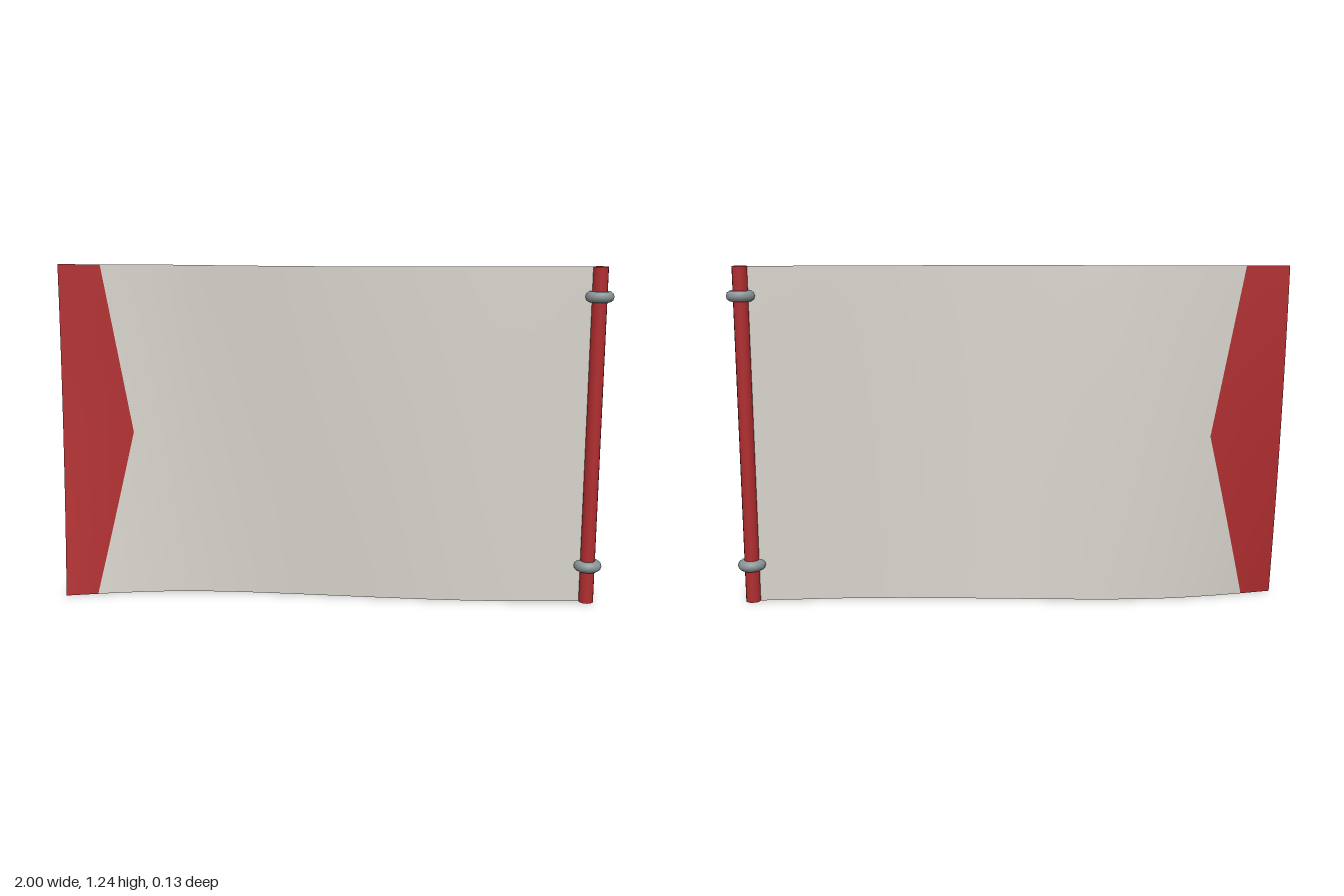
import * as THREE from 'three';

const HEIGHT = 1.235, POLE_X = 0.948, POLE_Z = 0.013;

// Ripple of the cloth: [x, z at bottom edge, z at mid height, z at top edge]
const RIPPLE = [
  [-1, 0.025, -0.037, -0.064], [-0.8, -0.015, -0.047, -0.062], [-0.6, -0.041, -0.05, -0.049],
  [-0.4, -0.044, -0.035, -0.016], [-0.2, -0.032, -0.01, 0.014], [0, -0.015, 0.012, 0.033],
  [0.2, 0.002, 0.022, 0.037], [0.4, 0.016, 0.025, 0.031], [0.6, 0.022, 0.023, 0.022],
  [POLE_X, 0.012, 0.012, 0.012],
];

// Smooth interpolation along x for one column of the ripple table
function rippleAt(x, col) {
  let i = 0;
  while (i < RIPPLE.length - 2 && x > RIPPLE[i + 1][0]) i++;
  const slope = (k) => {
    const a = RIPPLE[Math.max(k - 1, 0)], b = RIPPLE[Math.min(k + 1, RIPPLE.length - 1)];
    return (b[col] - a[col]) / (b[0] - a[0]);
  };
  const p = RIPPLE[i], q = RIPPLE[i + 1], w = q[0] - p[0], t = (x - p[0]) / w;
  const t2 = t * t, t3 = t2 * t;
  return (2 * t3 - 3 * t2 + 1) * p[col] + (t3 - 2 * t2 + t) * w * slope(i)
    + (3 * t2 - 2 * t3) * q[col] + (t3 - t2) * w * slope(i + 1);
}

// Cloth depth at x and height fraction v: a parabola through the three rows
function clothZ(x, v) {
  const [b, m, t] = [1, 2, 3].map((col) => rippleAt(x, col));
  return b * (1 - v) * (1 - 2 * v) + m * 4 * v * (1 - v) + t * v * (2 * v - 1);
}

// Slanted border between the end panel and the main cloth
const borderX = (v) => (v < 0.5
  ? THREE.MathUtils.lerp(-0.885, -0.738, v * 2)
  : THREE.MathUtils.lerp(-0.738, -0.845, v * 2 - 1));

// Piece of cloth between two side lines, each given as x for a height fraction
function clothPiece(name, leftX, rightX, columns, material) {
  const geometry = new THREE.PlaneGeometry(1, 1, columns, 32);
  const pos = geometry.attributes.position, normal = geometry.attributes.normal;
  const n = new THREE.Vector3(), e = 0.005;
  for (let i = 0; i < pos.count; i++) {
    const v = pos.getY(i) + 0.5;
    const x = THREE.MathUtils.lerp(leftX(v), rightX(v), pos.getX(i) + 0.5);
    pos.setXYZ(i, x, v * HEIGHT, clothZ(x, v));
    // Normals come from the surface itself so the pieces shade as one sheet
    const dx = (clothZ(x + e, v) - clothZ(x - e, v)) / (2 * e);
    const dy = (clothZ(x, v + e) - clothZ(x, v - e)) / (2 * e * HEIGHT);
    n.set(-dx, -dy, 1).normalize();
    normal.setXYZ(i, n.x, n.y, n.z);
  }
  const mesh = new THREE.Mesh(geometry, material);
  mesh.name = name;
  return mesh;
}

export function createModel() {
  const red = new THREE.MeshStandardMaterial({ color: 0xb02d2f, side: THREE.DoubleSide });
  red.name = 'red';
  const cloth = new THREE.MeshStandardMaterial({ color: 0xd6d3cb, side: THREE.DoubleSide });
  cloth.name = 'pale cloth';
  const metal = new THREE.MeshStandardMaterial({ color: 0x8a9496 });
  metal.name = 'grey metal';

  const flag = new THREE.Group();
  flag.name = 'flag';

  // Rippled cloth with a red panel at the free end
  flag.add(clothPiece('endPanel', () => -1, borderX, 8, red));
  flag.add(clothPiece('mainCloth', borderX, () => POLE_X, 48, cloth));

  // Pole
  const pole = new THREE.Mesh(new THREE.CylinderGeometry(0.027, 0.027, HEIGHT, 12), red);
  pole.name = 'pole';
  pole.position.set(POLE_X, HEIGHT / 2, POLE_Z);
  flag.add(pole);

  // Rings around the pole
  for (const [name, y] of [['lowerRing', 0.14], ['upperRing', 1.13]]) {
    const ring = new THREE.Mesh(new THREE.TorusGeometry(0.031, 0.02, 10, 20), metal);
    ring.name = name;
    ring.rotation.x = Math.PI / 2;
    ring.position.set(POLE_X, y, POLE_Z);
    flag.add(ring);
  }
  return flag;
}
